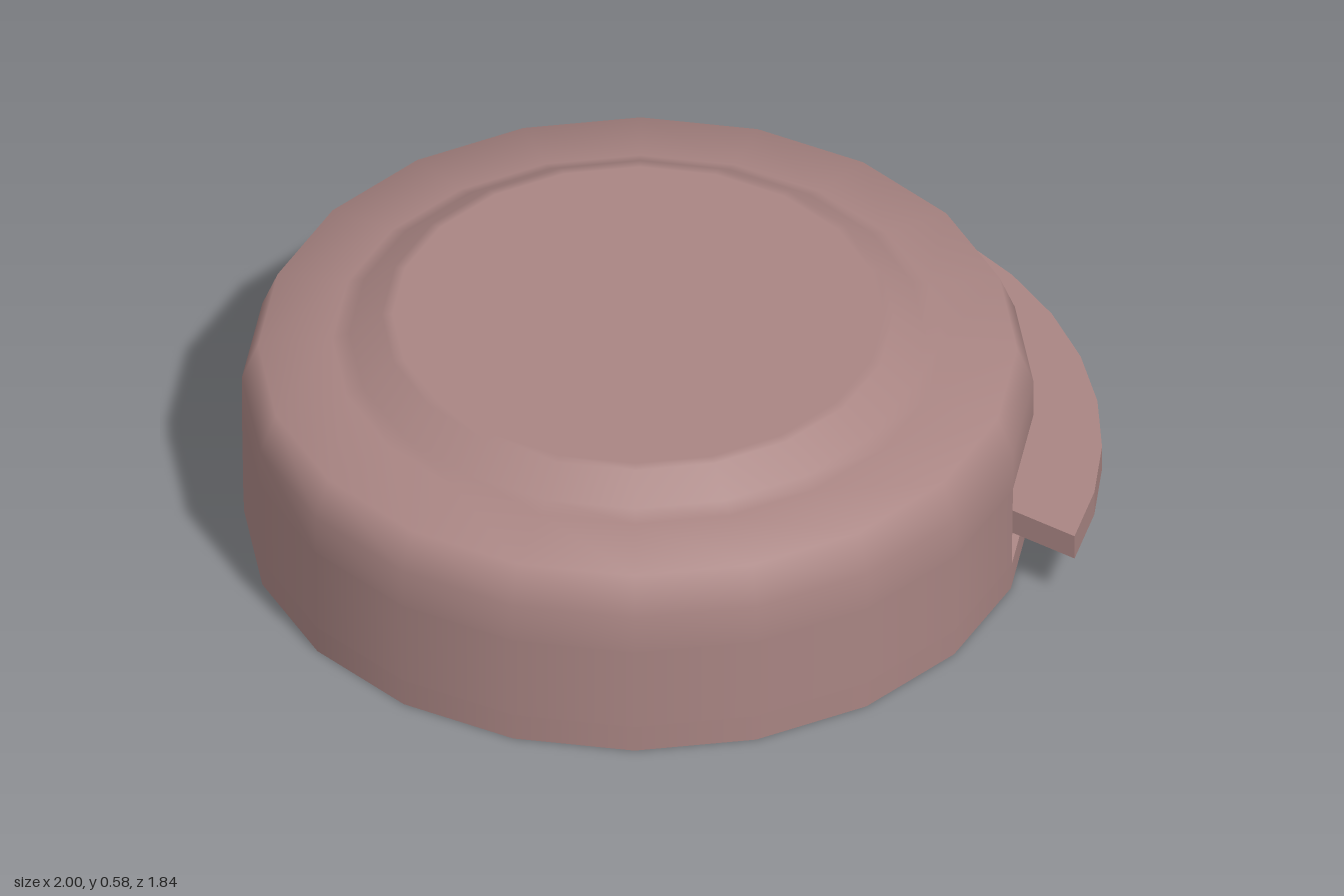
import * as THREE from 'three';

const SIDES = 20;
const STEP = (Math.PI * 2) / SIDES;
const CENTRE_X = -0.08;

export function createModel() {
  const model = new THREE.Group();
  const material = new THREE.MeshStandardMaterial({ color: 0xa98583 });
  const thin = new THREE.MeshStandardMaterial({ color: 0xa98583, side: THREE.DoubleSide });

  const add = (parent, name, geometry, mat = material) => {
    const mesh = new THREE.Mesh(geometry, mat);
    mesh.name = name;
    parent.add(mesh);
    return mesh;
  };
  // Lathe spanning a number of sides, starting at a given side
  const lathe = (points, first = 0, count = SIDES) => new THREE.LatheGeometry(
    points.map(([r, y]) => new THREE.Vector2(r, y)), count, first * STEP, count * STEP);

  const body = new THREE.Group();
  body.name = 'body';
  body.position.x = CENTRE_X;
  model.add(body);

  // Round case: base, wall interrupted by the slot, and stepped top
  add(body, 'base', lathe([[0, 0], [0.915, 0]]));
  add(body, 'lowerWall', lathe([[0.915, 0], [0.917, 0.07]]));
  add(body, 'middleWall', lathe([[0.917, 0.07], [0.92, 0.29]], 7, 16));
  add(body, 'upperCase', lathe([
    [0.92, 0.29], [0.92, 0.39], [0.882, 0.485], [0.71, 0.505],
    [0.67, 0.52], [0.595, 0.575], [0.57, 0.577], [0, 0.577],
  ]));

  // Tapered slot, four sides wide, facing +x
  const slot = [[0.917, 0.07], [0.78, 0.1], [0.78, 0.25], [0.92, 0.29]];
  ['slotFloor', 'slotBack', 'slotCeiling'].forEach((name, i) => {
    add(body, name, lathe([slot[i], slot[i + 1]], 3, 4));
  });
  const endShape = new THREE.Shape(slot.map(([x, y]) => new THREE.Vector2(x, y)));
  for (const side of [-1, 1]) {
    add(body, 'slotEnd', new THREE.ShapeGeometry(endShape), thin).rotation.y = side * 2 * STEP;
  }

  // Curved lever reaching out of the slot
  const arc = (radius, from, to) => Array.from({ length: 9 }, (_, i) => {
    const a = THREE.MathUtils.degToRad(from + ((to - from) * i) / 8);
    return new THREE.Vector2(radius * Math.cos(a), radius * Math.sin(a));
  });
  const leverShape = new THREE.Shape([...arc(1.08, -37.4, 37.4), ...arc(0.76, 31, -31)]);
  const leverGeometry = new THREE.ExtrudeGeometry(leverShape, { depth: 0.065, bevelEnabled: false });
  leverGeometry.rotateX(-Math.PI / 2);
  add(model, 'lever', leverGeometry).position.set(CENTRE_X, 0.145, 0);

  return model;
}
